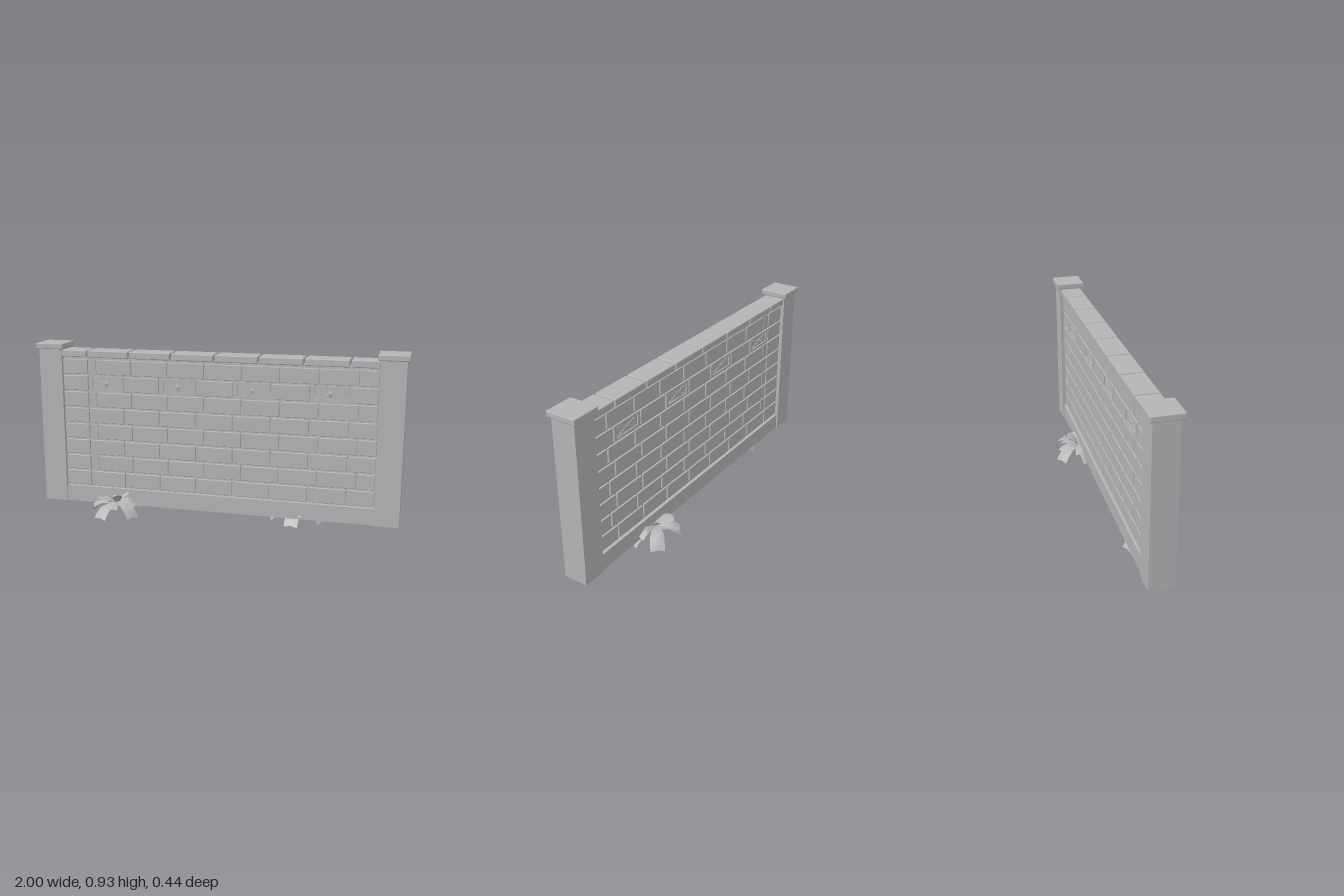
import * as THREE from 'three';
import { RoundedBoxGeometry } from 'three/addons/geometries/RoundedBoxGeometry.js';

const MID = -0.02; // z of the wall's middle plane
const stone = new THREE.MeshStandardMaterial({ color: 0xb4b4b4 });
stone.name = 'grey stone';
const foliage = new THREE.MeshStandardMaterial({ color: 0xb5b5b5, side: THREE.DoubleSide });
foliage.name = 'grey foliage';

function add(parent, name, geometry, x = 0, y = 0, z = 0, material = stone) {
  const mesh = new THREE.Mesh(geometry, material);
  mesh.name = name;
  mesh.position.set(x, y, z);
  parent.add(mesh);
  return mesh;
}

// Block given by its x and y limits and its depth, centred on the wall plane
function block(parent, name, x0, x1, y0, y1, depth, radius = 0) {
  const w = x1 - x0, h = y1 - y0;
  const geometry = radius ? new RoundedBoxGeometry(w, h, depth, 1, radius) : new THREE.BoxGeometry(w, h, depth);
  return add(parent, name, geometry, (x0 + x1) / 2, (y0 + y1) / 2, MID);
}

// Brick with a framed, carved panel on both faces
function carvedBrick(parent, x0, x1, y0, y1) {
  const group = new THREE.Group();
  group.name = 'carvedBrick';
  group.position.set((x0 + x1) / 2, (y0 + y1) / 2, MID);
  parent.add(group);
  const w = (x1 - x0) / 2, h = (y1 - y0) / 2, iw = w - 0.018, ih = h - 0.013;
  const rect = (S, a, b) => new S([[-a, -b], [a, -b], [a, b], [-a, b]].map(p => new THREE.Vector2(...p)));
  const shape = rect(THREE.Shape, w, h);
  shape.holes.push(rect(THREE.Path, iw, ih));
  const frame = new THREE.ExtrudeGeometry(shape, { depth: 0.092, bevelEnabled: false }).translate(0, 0, -0.046);
  add(group, 'brickFrame', frame);
  add(group, 'brickPanel', new THREE.BoxGeometry(iw * 2, ih * 2, 0.08));
  const reach = Math.hypot(iw, ih) * 1.7, slope = Math.atan2(ih, iw);
  for (const s of [-1, 1]) {
    add(group, 'carvedBar', new THREE.BoxGeometry(reach, 0.006, 0.087)).rotation.z = s * slope;
    // low pyramid boss in the middle of each face
    const boss = new THREE.ConeGeometry(0.02, 0.008, 4).toNonIndexed();
    boss.computeVertexNormals();
    add(group, 'carvedBoss', boss, 0, 0, s * 0.043).rotation.x = s * Math.PI / 2;
  }
}

// Curved strip leaf that leaves the middle along +z, following a quadratic arc
function leafGeometry(path, width) {
  const curve = new THREE.QuadraticBezierCurve(...path.map(p => new THREE.Vector2(...p)));
  const geometry = new THREE.PlaneGeometry(1, 1, 2, 5);
  const pos = geometry.attributes.position;
  for (let i = 0; i < pos.count; i++) {
    const t = 0.5 - pos.getY(i), u = pos.getX(i);
    const p = curve.getPoint(t);
    const w = width * (0.45 + 0.55 * Math.min(1, t * 1.6));
    pos.setXYZ(i, u * w, p.y + 0.008 * (1 - 4 * u * u), p.x);
  }
  geometry.computeVertexNormals();
  return geometry;
}

function plant(parent, name, x, z, turn) {
  const group = new THREE.Group();
  group.name = name;
  group.position.set(x, 0, z);
  group.rotation.y = turn;
  parent.add(group);
  // [leaf count, first angle, width, path as (radius, height)]
  const tiers = [
    [5, 0, 0.075, [[0.01, 0.06], [0.1, 0.085], [0.145, 0.006]]],
    [6, 0.5, 0.055, [[0.01, 0.06], [0.07, 0.105], [0.13, 0.06]]],
    [5, 0.3, 0.055, [[0.01, 0.065], [0.05, 0.085], [0.095, 0.095]]],
    [4, 0.8, 0.05, [[0.005, 0.065], [0.03, 0.1], [0.065, 0.118]]],
  ];
  tiers.forEach(([count, first, width, path]) => {
    for (let i = 0; i < count; i++) {
      const leaf = add(group, 'leaf', leafGeometry(path, width), 0, 0, 0, foliage);
      leaf.rotation.y = first + (i / count) * Math.PI * 2 + 0.12 * Math.sin(i * 2.3);
    }
  });
}

export function createModel() {
  const model = new THREE.Group();
  model.name = 'brickGardenWall';

  // End pillars with caps
  for (const s of [-1, 1]) {
    const px = s * 0.921;
    block(model, 'pillar', px - 0.065, px + 0.065, 0.047, 0.912, 0.13);
    block(model, 'pillarCap', px - 0.079, px + 0.079, 0.909, 0.94, 0.16, 0.005);
  }

  // Plinth and mortar core
  block(model, 'plinth', -0.87, 0.87, 0.047, 0.137, 0.114);
  block(model, 'mortarCore', -0.87, 0.87, 0.13, 0.875, 0.074);

  // Coping stones
  const coping = [-0.86, -0.71, -0.473, -0.237, 0, 0.237, 0.473, 0.708, 0.86];
  for (let i = 0; i < coping.length - 1; i++) {
    block(model, 'copingStone', coping[i] + 0.004, coping[i + 1] - 0.004, 0.868, 0.905, 0.121, 0.005);
  }

  // Eight courses of staggered bricks
  const bricks = new THREE.Group();
  bricks.name = 'bricks';
  model.add(bricks);
  const gap = 0.004, pitch = 0.203, end = 0.857;
  for (let row = 0; row < 8; row++) {
    const top = 0.854 - row * 0.09, bottom = top - 0.081;
    const odd = row % 2 === 1;
    let x0 = odd ? -0.71 : -0.663;
    block(bricks, 'brick', -end, -0.71 - gap, bottom, top, 0.092, 0.003);
    if (!odd) block(bricks, 'fillerBrick', -0.71, -0.663 - gap, bottom, top, 0.086);
    for (let i = 0; x0 < end - 0.02; i++, x0 += pitch) {
      const x1 = Math.min(x0 + pitch, end);
      if (row === 1 && i % 2 === 0 && i < 7) carvedBrick(bricks, x0 + gap, x1 - gap, bottom, top);
      else block(bricks, 'brick', x0 + gap, x1 - gap, bottom, top, 0.092, 0.003);
    }
  }

  // Leafy plants at the foot of the wall, one on each side
  plant(model, 'frontPlant', -0.55, 0.063, -0.35);
  plant(model, 'backPlant', 0.44, -0.083, -0.1);
  return model;
}
